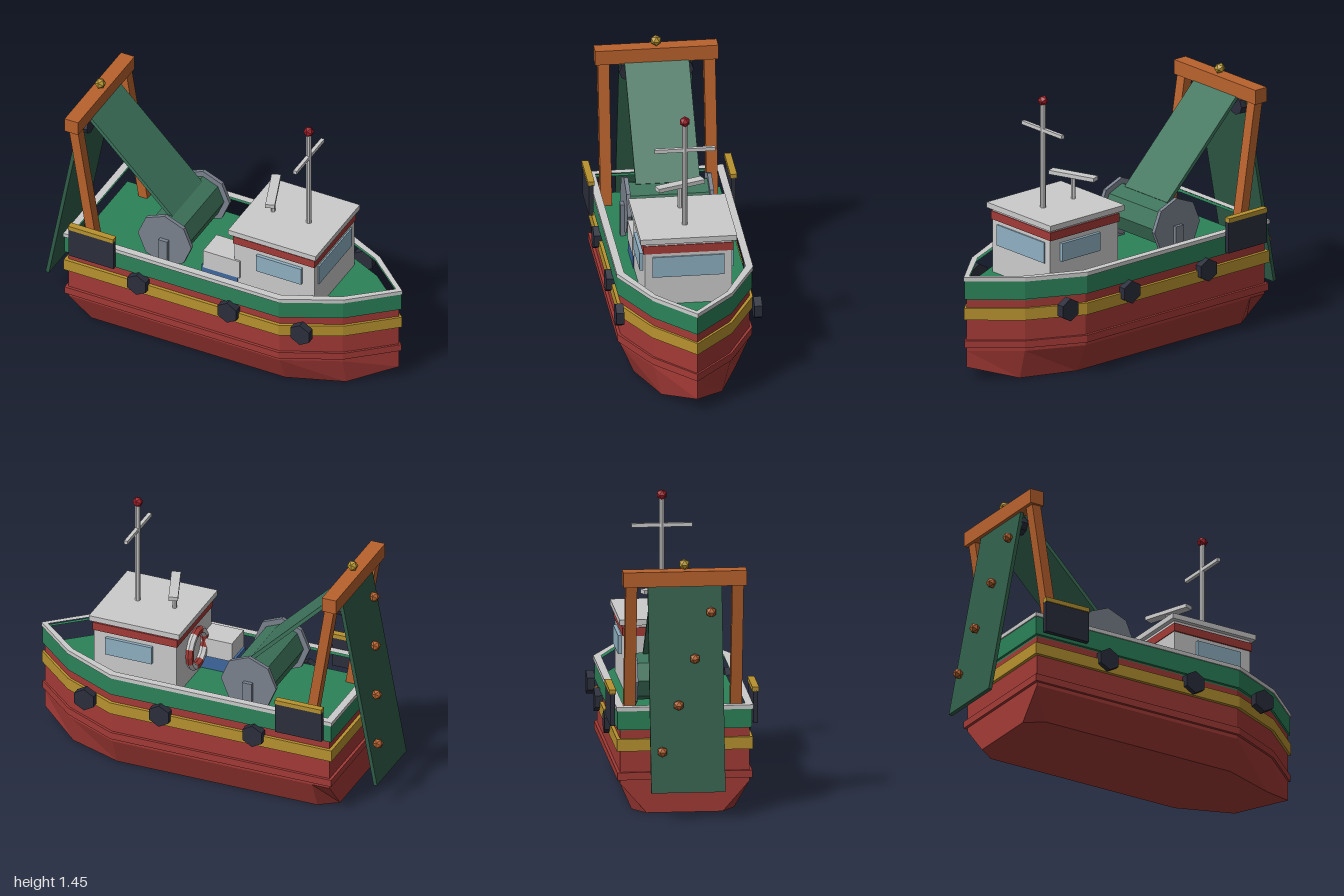
import * as THREE from 'three';

const C = {
  red: 0xa33a36, yellow: 0xb8922f, green: 0x2b8259, grey: 0xcccccc, orange: 0xb9622d, net: 0x3d735b,
  netDark: 0x2f5c48, dark: 0x2b2e3c, glass: 0x8fb0c2, steel: 0x7a828e, lamp: 0xa01c28, blue: 0x3f68a0,
  float: 0xb5622c, brass: 0xb8962f,
};

export function createModel() {
  const boat = new THREE.Group();
  const mats = {};
  const mat = (c) => (mats[c] ??= new THREE.MeshStandardMaterial({ color: C[c], flatShading: true }));

  const add = (name, geo, color, x = 0, y = 0, z = 0) => {
    const m = new THREE.Mesh(geo, mat(color));
    m.name = name;
    m.position.set(x, y, z);
    boat.add(m);
    return m;
  };
  // Box given by its min and max on each axis
  const box = (name, color, x0, x1, y0, y1, z0, z1) =>
    add(name, new THREE.BoxGeometry(x1 - x0, y1 - y0, z1 - z0), color, (x0 + x1) / 2, (y0 + y1) / 2, (z0 + z1) / 2);
  // Flat bar running between two points in the x-y plane
  const bar = (name, color, [x0, y0], [x1, y1], thick, width, z = 0) => {
    const m = add(name, new THREE.BoxGeometry(Math.hypot(x1 - x0, y1 - y0), thick, width), color, (x0 + x1) / 2, (y0 + y1) / 2, z);
    m.rotation.z = Math.atan2(y1 - y0, x1 - x0);
    return m;
  };
  const ball = (name, color, r, x, y, z) => add(name, new THREE.IcosahedronGeometry(r, 0), color, x, y, z);
  // Cylinder lying along z
  const disc = (name, color, r, len, sides, x, y, z) =>
    add(name, new THREE.CylinderGeometry(r, r, len, sides).rotateX(Math.PI / 2), color, x, y, z);

  // Plan outline of the hull, grown outwards by d
  const outline = (d) => {
    const side = [[-0.79 - d, 0.34 + d], [0.45 + d * 0.25, 0.34 + d], [0.75 + d * 0.5, 0.2 + d * 0.6]];
    return [...side, [0.98 + d, 0], ...side.map(([x, z]) => [x, -z]).reverse()].map((p) => new THREE.Vector2(...p));
  };
  const layer = (name, color, y0, y1, d, inner) => {
    const shape = new THREE.Shape(outline(d));
    if (inner !== undefined) shape.holes.push(new THREE.Path(outline(inner)));
    const geo = new THREE.ExtrudeGeometry(shape, { depth: y1 - y0, bevelEnabled: false });
    add(name, geo.rotateX(-Math.PI / 2), color, 0, y0);
  };

  // Hull: stations of x, keel height, bottom half width, side half width
  const stations = [[-0.79, 0, 0.2, 0.34], [-0.69, 0, 0.27, 0.34], [0.45, 0, 0.27, 0.34], [0.75, 0, 0.16, 0.2], [0.98, 0.07, 0, 0]];
  const rings = stations.map(([x, y, b, s]) =>
    [[0.445, s], [0.16, s], [y, b], [y, -b], [0.16, -s], [0.445, -s]].map(([h, z]) => [x, h, z]));
  const pos = [];
  for (let i = 0; i < rings.length - 1; i++) {
    for (let j = 0; j < 6; j++) {
      const k = (j + 1) % 6;
      const [a, b, c, d] = [rings[i][j], rings[i][k], rings[i + 1][k], rings[i + 1][j]];
      pos.push(...a, ...b, ...c, ...a, ...c, ...d);
    }
  }
  for (let k = 1; k < 5; k++) pos.push(...rings[0][0], ...rings[0][k + 1], ...rings[0][k]);
  const hull = new THREE.BufferGeometry();
  hull.setAttribute('position', new THREE.Float32BufferAttribute(pos, 3));
  hull.computeVertexNormals();
  add('hull', hull, 'red');

  // Strakes, deck, bulwark and rail
  layer('rubbingStrake', 'red', 0.18, 0.22, 0.015);
  layer('yellowBand', 'yellow', 0.335, 0.4, 0.018);
  layer('deck', 'green', 0.44, 0.452, 0);
  layer('bulwark', 'green', 0.45, 0.553, 0.014, -0.015);
  layer('rail', 'grey', 0.55, 0.572, 0.02, -0.02);

  // Wheelhouse
  box('cabin', 'grey', 0.13, 0.6, 0.45, 0.81, -0.23, 0.23);
  box('cabinBand', 'red', 0.125, 0.605, 0.745, 0.79, -0.238, 0.238);
  box('cabinRoof', 'grey', 0.105, 0.62, 0.806, 0.836, -0.255, 0.255);
  box('frontWindow', 'glass', 0.595, 0.608, 0.61, 0.725, -0.19, 0.19);
  for (const s of [-1, 1]) add('sideWindow', new THREE.BoxGeometry(0.265, 0.1, 0.03), 'glass', 0.398, 0.668, s * 0.233);

  // Mast, crossbar, lamp and radar
  add('mast', new THREE.CylinderGeometry(0.015, 0.015, 0.58, 8), 'grey', 0.45, 1.125);
  box('mastCrossbar', 'grey', 0.44, 0.46, 1.256, 1.276, -0.16, 0.16);
  ball('mastLamp', 'lamp', 0.029, 0.45, 1.428, 0);
  add('radarPost', new THREE.CylinderGeometry(0.012, 0.012, 0.13, 6), 'grey', 0.24, 0.895);
  add('radarBar', new THREE.BoxGeometry(0.05, 0.022, 0.27), 'grey', 0.24, 0.966).rotation.y = 0.35;

  // Lifebuoy of eight alternating segments on the cabin's back wall
  for (let i = 0; i < 8; i++) {
    const seg = new THREE.TorusGeometry(0.1, 0.022, 6, 2, Math.PI / 4).rotateZ((i + 0.5) * Math.PI / 4).rotateY(Math.PI / 2);
    add('lifebuoySegment', seg, i % 2 ? 'red' : 'grey', 0.112, 0.62, 0);
  }

  // Deck locker
  box('lockerBase', 'blue', -0.062, 0.15, 0.45, 0.54, 0.09, 0.235);
  box('locker', 'grey', -0.05, 0.165, 0.53, 0.638, 0.083, 0.24);

  // Net drum on two stands
  disc('netDrum', 'net', 0.125, 0.42, 8, -0.28, 0.62, 0);
  for (const s of [-1, 1]) {
    disc('drumFlange', 'steel', 0.157, 0.022, 8, -0.28, 0.62, s * 0.22);
    add('drumStand', new THREE.BoxGeometry(0.052, 0.18, 0.03), 'steel', -0.28, 0.54, s * 0.237);
  }

  // Stern gantry
  box('gantryBeam', 'orange', -0.82, -0.74, 1.215, 1.295, -0.325, 0.325);
  ball('gantryLamp', 'brass', 0.03, -0.775, 1.325, 0);
  for (const s of [-1, 1]) {
    bar('gantryPost', 'orange', [-0.652, 0.45], [-0.777, 1.23], 0.052, 0.06, s * 0.28);
    add('gantryBlock', new THREE.CylinderGeometry(0.05, 0.05, 0.04, 8).rotateZ(Math.PI / 2), 'dark', -0.775, 1.16, s * 0.147);
  }

  // Net sheets and floats
  bar('netToDrum', 'net', [-0.76, 1.225], [-0.27, 0.735], 0.02, 0.34);
  bar('netOverStern', 'netDark', [-0.988, 0.147], [-0.79, 1.215], 0.02, 0.39);
  for (let i = 0; i < 4; i++) ball('netFloat', 'float', 0.029, -0.978 + i * 0.046, 0.366 + i * 0.238, -0.135 + i * 0.09);

  // Trawl doors and fenders along both sides
  for (const s of [-1, 1]) {
    add('trawlDoor', new THREE.BoxGeometry(0.265, 0.175, 0.025), 'dark', -0.632, 0.55, s * 0.376);
    add('trawlDoorCap', new THREE.BoxGeometry(0.265, 0.024, 0.036), 'yellow', -0.632, 0.645, s * 0.376);
    for (const x of [-0.367, 0.165, 0.592]) disc('fender', 'dark', 0.063, 0.042, 6, x, 0.4, s * 0.364);
  }
  return boat;
}
